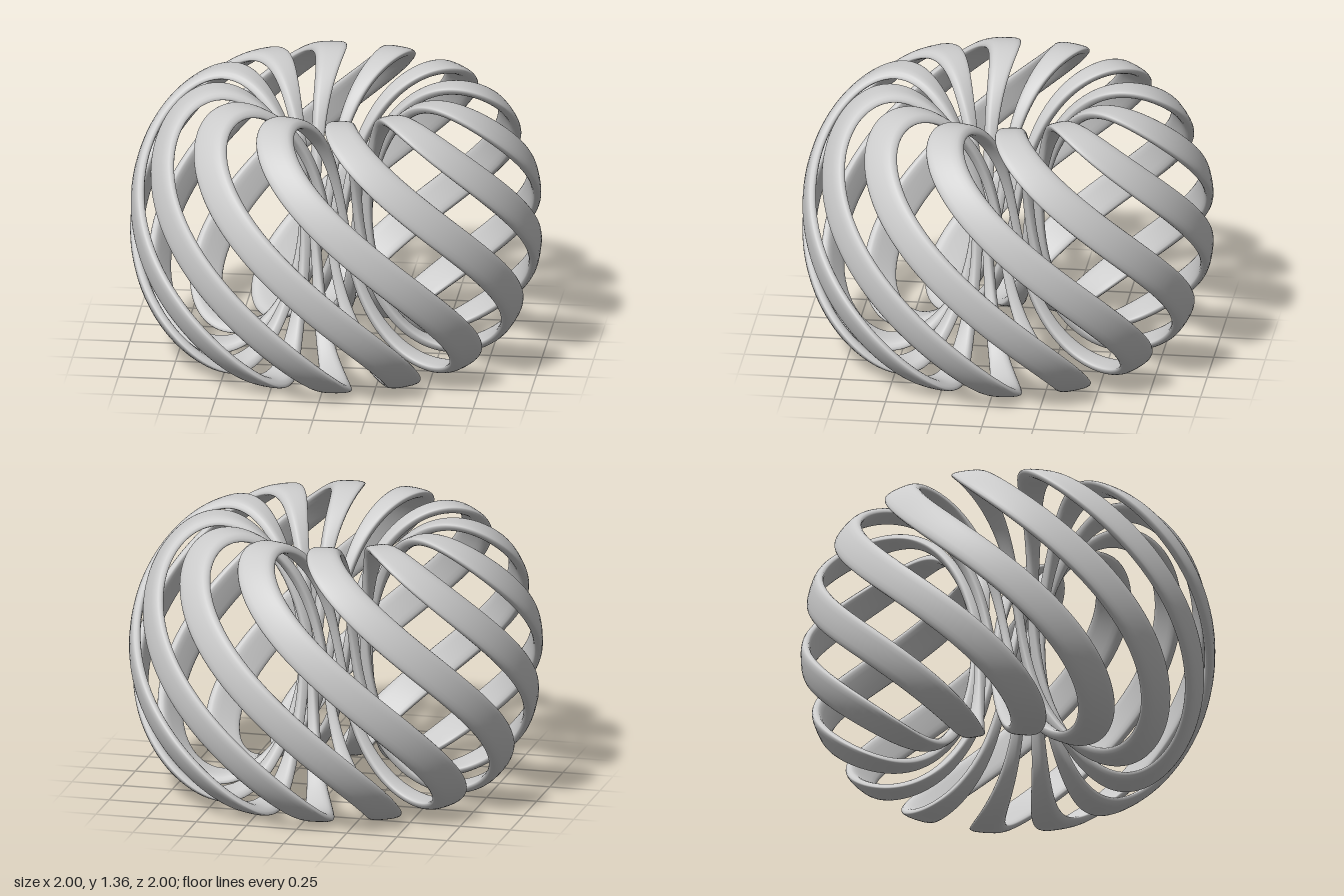
import * as THREE from 'three';

const BANDS = 12, STEPS = 120, SIDES = 20;
const RING_R = 0.565, RX = 0.41, RY = 0.655;      // elliptical ring centre line
const HALF_THICK = 0.025, HALF_ANGLE = Math.PI / 24; // band section
const TWIST = Math.PI / 2, MID_Y = 0.68;          // quarter turn from bottom to top

// rounds a circle towards a soft rectangle
const soften = (v, e) => Math.sign(v) * Math.pow(Math.abs(v), e);

// one closed wedge-shaped band: an upright ellipse twisted about the y axis
function bandGeometry() {
  const pos = [], index = [];
  for (let i = 0; i < STEPS; i++) {
    const t = (i / STEPS) * Math.PI * 2;
    const n = new THREE.Vector2(Math.cos(t) / RX, Math.sin(t) / RY).normalize();
    for (let j = 0; j < SIDES; j++) {
      const s = (j / SIDES) * Math.PI * 2;
      const off = HALF_THICK * soften(Math.cos(s), 0.65);
      const r = RING_R + RX * Math.cos(t) + n.x * off;
      const y = RY * Math.sin(t) + n.y * off;
      const phi = HALF_ANGLE * soften(Math.sin(s), 0.65) - TWIST * y / (2 * MID_Y);
      pos.push(r * Math.sin(phi), MID_Y + y, r * Math.cos(phi));

      const i2 = (i + 1) % STEPS, j2 = (j + 1) % SIDES;
      const a = i * SIDES + j, b = i * SIDES + j2, c = i2 * SIDES + j2, d = i2 * SIDES + j;
      index.push(a, b, c, a, c, d);
    }
  }
  const g = new THREE.BufferGeometry();
  g.setAttribute('position', new THREE.Float32BufferAttribute(pos, 3));
  g.setIndex(index);
  g.computeVertexNormals();
  return g;
}

export function createModel() {
  const group = new THREE.Group();
  group.name = 'twistedRingSculpture';
  const material = new THREE.MeshStandardMaterial({ color: 0xcccccc });
  const geometry = bandGeometry();
  // bands repeated around the vertical axis
  for (let k = 0; k < BANDS; k++) {
    const band = new THREE.Mesh(geometry, material);
    band.name = `twistedBand${k + 1}`;
    band.rotation.y = THREE.MathUtils.degToRad(-7.5 + (k * 360) / BANDS);
    group.add(band);
  }
  return group;
}
